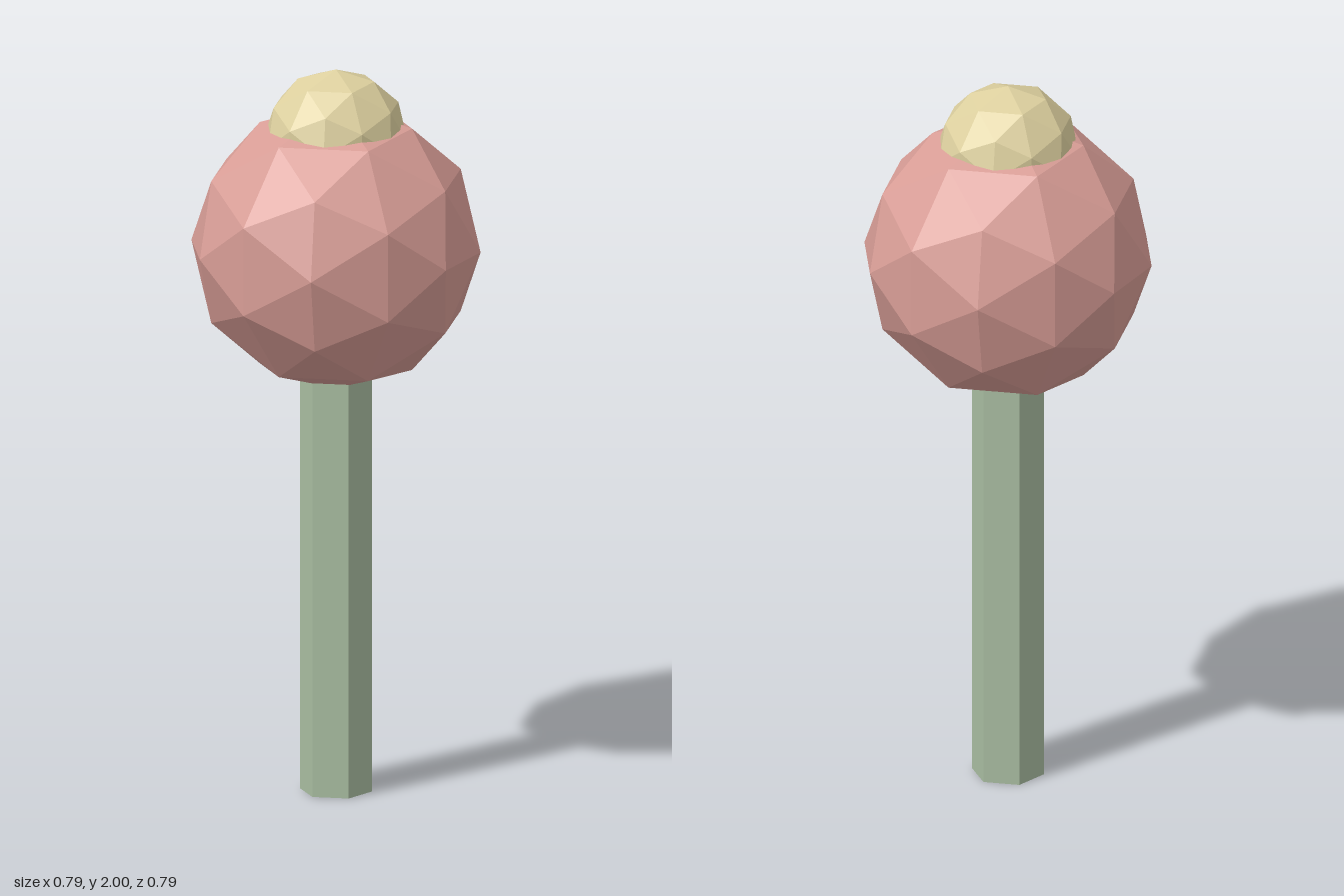
import * as THREE from 'three';

const material = (name, color) => {
  const m = new THREE.MeshStandardMaterial({ color, flatShading: true });
  m.name = name;
  return m;
};

export function createModel() {
  const group = new THREE.Group();
  group.name = 'topiaryTree';

  const add = (name, geometry, mat, y) => {
    const mesh = new THREE.Mesh(geometry, mat);
    mesh.name = name;
    mesh.position.y = y;
    group.add(mesh);
  };

  // Hexagonal stem with corners on the x axis, its top sunk into the ball
  const stemHeight = 1.2;
  add('stem',
    new THREE.CylinderGeometry(0.0985, 0.0985, stemHeight, 6, 1, false, Math.PI / 6),
    material('sage green', 0xa9bda1), stemHeight / 2);

  // Large faceted ball
  add('ball', new THREE.IcosahedronGeometry(0.394, 1), material('dusty pink', 0xd89d96), 1.51);

  // Small faceted cap, half buried in the ball
  add('cap', new THREE.IcosahedronGeometry(0.197, 1), material('pale yellow', 0xdccf9e), 1.803);

  return group;
}
